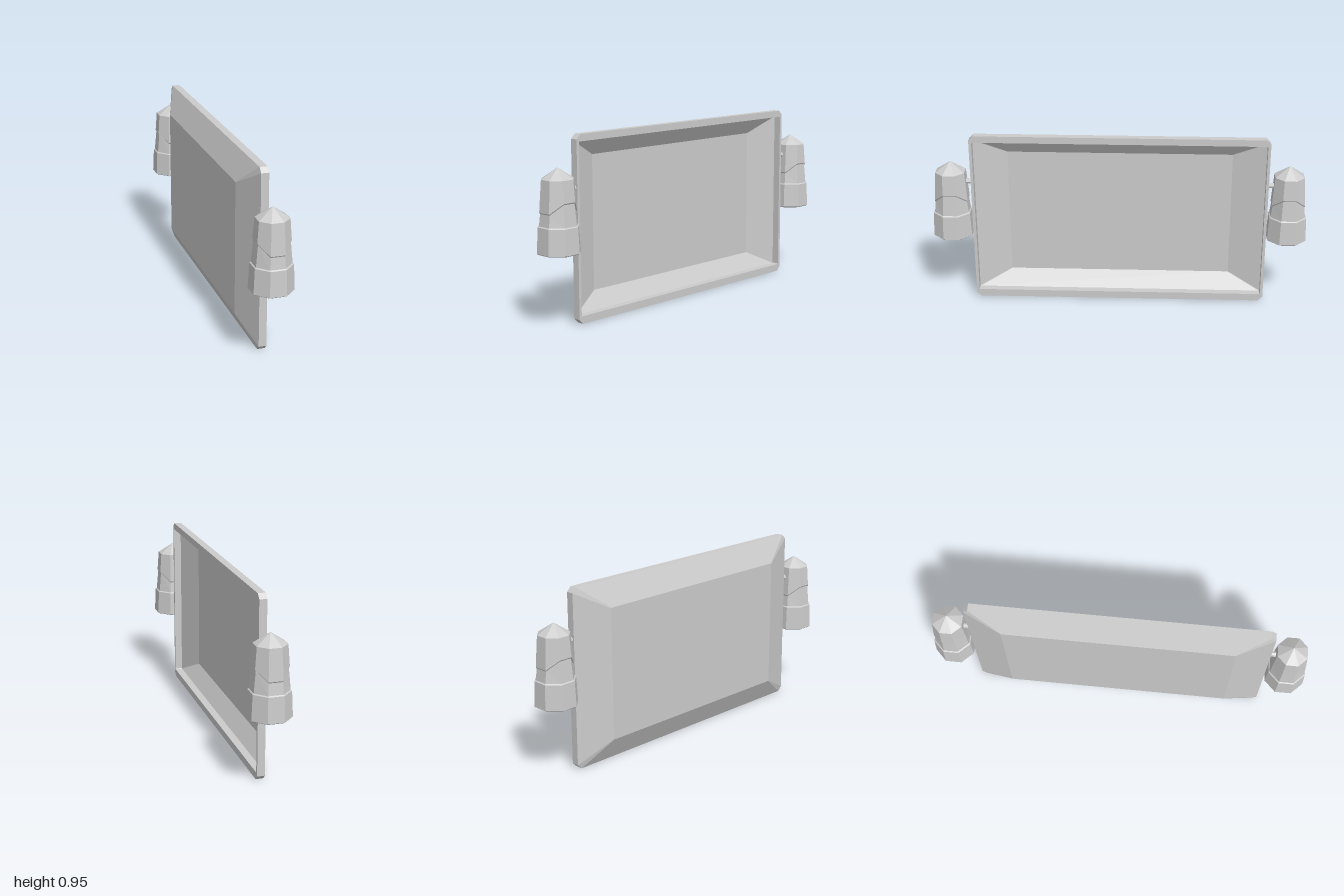
import * as THREE from 'three';

const grey = new THREE.MeshStandardMaterial({ color: 0xcccccc, flatShading: true });

function part(name, geometry) {
  const mesh = new THREE.Mesh(geometry, grey);
  mesh.name = name;
  return mesh;
}

// Rectangle outline with cut corners, counter-clockwise
function outline(w, y0, y1, c) {
  return [[w - c, y0], [w, y0 + c], [w, y1 - c], [w - c, y1],
    [c - w, y1], [-w, y1 - c], [-w, y0 + c], [c - w, y0]]
    .map(([x, y]) => new THREE.Vector2(x, y));
}

// Tapered tray skin: sloping walls between two outlines, closed at the back
function traySkin(rim, zRim, back, zBack, inward) {
  const pos = [];
  const tri = (a, b, c) => (inward ? [a, c, b] : [a, b, c]).forEach(p => pos.push(...p));
  const A = rim.map(p => [p.x, p.y, zRim]);
  const B = back.map(p => [p.x, p.y, zBack]);
  for (let i = 0; i < A.length; i++) {
    const k = (i + 1) % A.length;
    tri(B[i], B[k], A[i]);
    tri(B[k], A[k], A[i]);
    if (i > 0 && k > 0) tri(B[0], B[k], B[i]);
  }
  const geo = new THREE.BufferGeometry();
  geo.setAttribute('position', new THREE.Float32BufferAttribute(pos, 3));
  geo.computeVertexNormals();
  return geo;
}

// Eight-sided lantern; sizes are measured to the flats
function lanternGeometry() {
  const profile = [[0, 0.42], [0.062, 0.42], [0.096, 0.38], [0.103, 0.385], [0.097, 0.515],
    [0.091, 0.52], [0.081, 0.63], [0.085, 0.636], [0.077, 0.745], [0, 0.8]];
  const k = 1 / Math.cos(Math.PI / 8);
  const geo = new THREE.LatheGeometry(
    profile.map(([r, y]) => new THREE.Vector2(r * k, y)), 8, Math.PI / 8);
  // The hood's lower edge dips on the faces towards +z and -z
  const p = geo.attributes.position;
  for (let i = 0; i < p.count; i++) {
    const row = i % profile.length;
    if ((row === 6 || row === 7) && Math.abs(p.getZ(i)) > Math.abs(p.getX(i))) {
      p.setXYZ(i, p.getX(i) * 1.04, p.getY(i) - 0.05, p.getZ(i) * 1.04);
    }
  }
  const flat = geo.toNonIndexed();
  flat.computeVertexNormals();
  return flat;
}

export function createModel() {
  const model = new THREE.Group();

  // Panel, drawn facing +z and turned so its open side faces +x
  const panel = new THREE.Group();
  panel.name = 'panel';
  panel.rotation.y = Math.PI / 2;
  const outer = outline(0.79, 0, 0.95, 0.024);
  const inner = outline(0.775, 0.04, 0.914, 0.003);
  const back = outline(0.6, 0.125, 0.826, 0.002);

  const frameShape = new THREE.Shape(outer);
  frameShape.holes.push(new THREE.Path(inner));
  const frame = new THREE.ExtrudeGeometry(frameShape, { depth: 0.04, bevelEnabled: false });
  frame.translate(0, 0, -0.02);
  panel.add(part('frame', frame));
  panel.add(part('trayOutside', traySkin(outer, -0.02, back, -0.083, false)));
  panel.add(part('trayInside', traySkin(inner, -0.02, back, -0.08, true)));
  model.add(panel);

  // A lantern and its mounting pin at each end
  const lantern = lanternGeometry();
  for (const [side, s] of [['front', 1], ['back', -1]]) {
    const body = part(side + 'Lantern', lantern);
    body.position.z = s * 0.897;
    model.add(body);

    const pin = part(side + 'Pin', new THREE.CylinderGeometry(0.015, 0.015, 0.06, 8));
    pin.rotation.x = Math.PI / 2;
    pin.position.set(0, 0.687, s * 0.81);
    model.add(pin);
  }
  return model;
}
